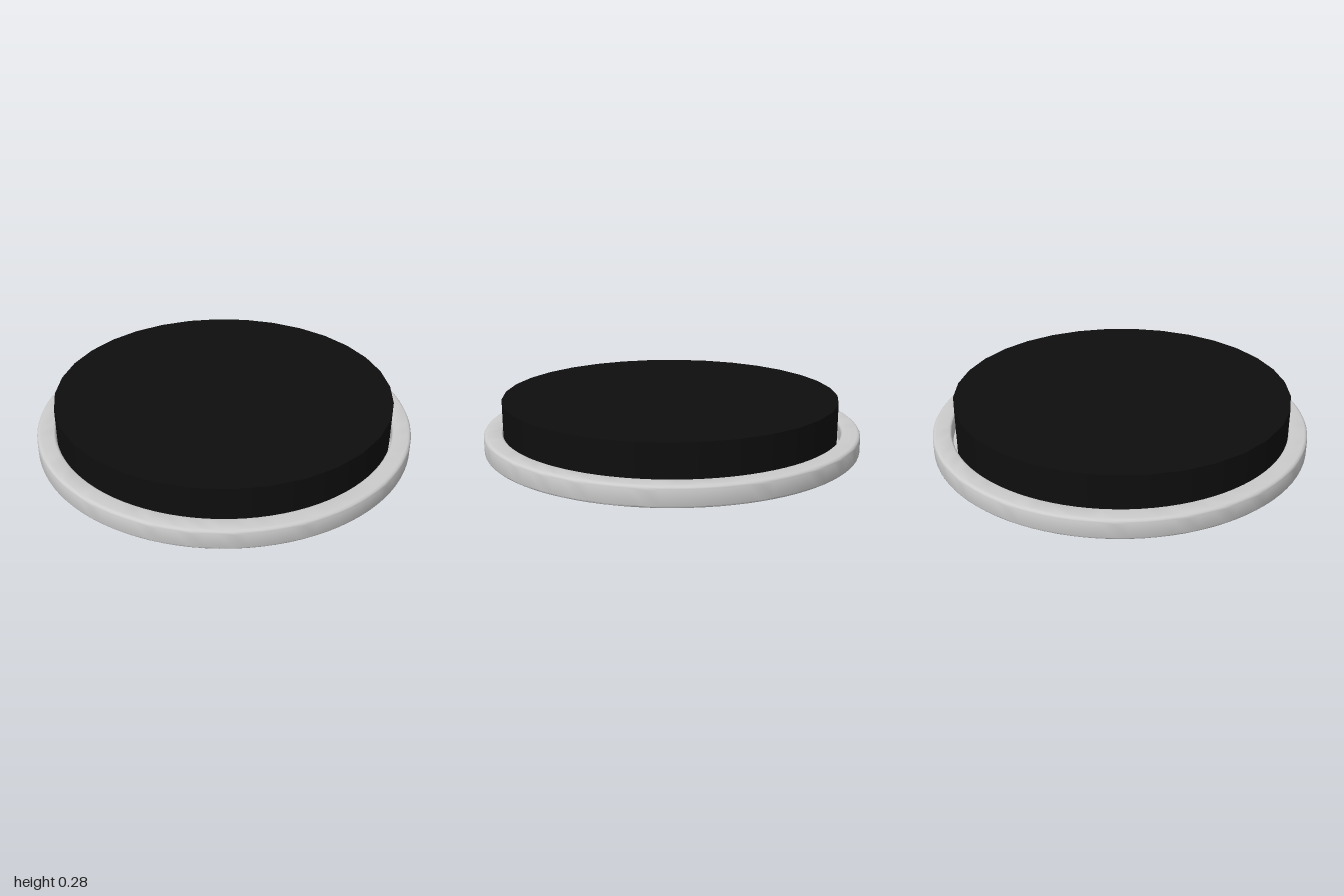
import * as THREE from 'three';
import { toCreasedNormals } from 'three/addons/utils/BufferGeometryUtils.js';

// Quarter-round corner: points of an arc around (cx, cy) from angle a to b
function arc(cx, cy, r, a, b, steps = 5) {
  return Array.from({ length: steps + 1 }, (_, i) => {
    const t = a + ((b - a) * i) / steps;
    return new THREE.Vector2(cx + r * Math.cos(t), cy + r * Math.sin(t));
  });
}

export function createModel() {
  const group = new THREE.Group();
  const grey = new THREE.MeshStandardMaterial({ color: 0xcccccc });
  const black = new THREE.MeshStandardMaterial({ color: 0x0e0e0e });
  const half = Math.PI / 2;

  // Shallow dish: faintly domed underside, rounded rim, recess for the pad
  const profile = [
    new THREE.Vector2(0, 0),
    new THREE.Vector2(0.5, 0.003),
    new THREE.Vector2(0.9, 0.008),
    ...arc(0.99, 0.02, 0.01, -half, 0, 3),
    ...arc(0.98, 0.093, 0.02, 0, half),
    ...arc(0.915, 0.098, 0.015, half, Math.PI),
    new THREE.Vector2(0.9, 0.03),
    new THREE.Vector2(0, 0.03),
  ];
  const dish = new THREE.Mesh(toCreasedNormals(new THREE.LatheGeometry(profile, 96), 0.6), grey);
  dish.name = 'rimmedBase';
  group.add(dish);

  // Black pad, set slightly toward the front within the recess
  const pad = new THREE.Mesh(new THREE.CylinderGeometry(0.893, 0.893, 0.245, 32), black);
  pad.position.set(0, 0.1525, 0.012);
  pad.name = 'pad';
  group.add(pad);

  return group;
}
